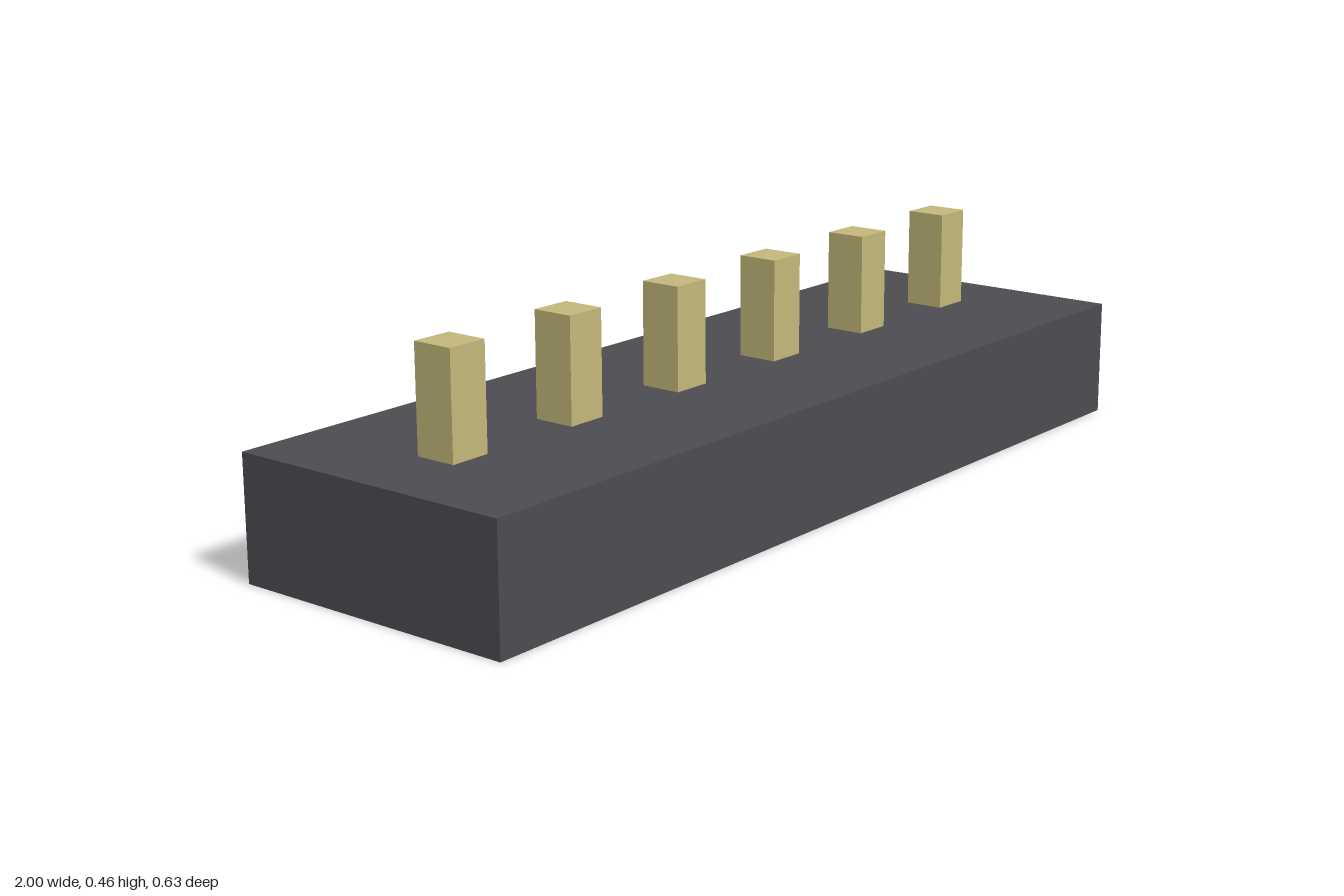
import * as THREE from 'three';

export function createModel() {
  const model = new THREE.Group();
  const housingMaterial = new THREE.MeshStandardMaterial({ color: 0x4d4c51 });
  housingMaterial.name = 'dark grey plastic';
  const pinMaterial = new THREE.MeshStandardMaterial({ color: 0xc3b87b });
  pinMaterial.name = 'pale brass';

  // Solid housing block
  const height = 0.251;
  const housing = new THREE.Mesh(new THREE.BoxGeometry(2, height, 0.626), housingMaterial);
  housing.name = 'housing';
  housing.position.y = height / 2;
  model.add(housing);

  // Row of six square pins standing on the housing
  const pinCount = 6, pitch = 0.313, pinWidth = 0.0875, pinHeight = 0.212;
  const pinGeometry = new THREE.BoxGeometry(pinWidth, pinHeight, pinWidth);
  const pins = new THREE.Group();
  pins.name = 'pins';
  for (let i = 0; i < pinCount; i++) {
    const pin = new THREE.Mesh(pinGeometry, pinMaterial);
    pin.name = `pin${i + 1}`;
    pin.position.set((i - (pinCount - 1) / 2) * pitch, height + pinHeight / 2, 0);
    pins.add(pin);
  }
  model.add(pins);

  return model;
}
